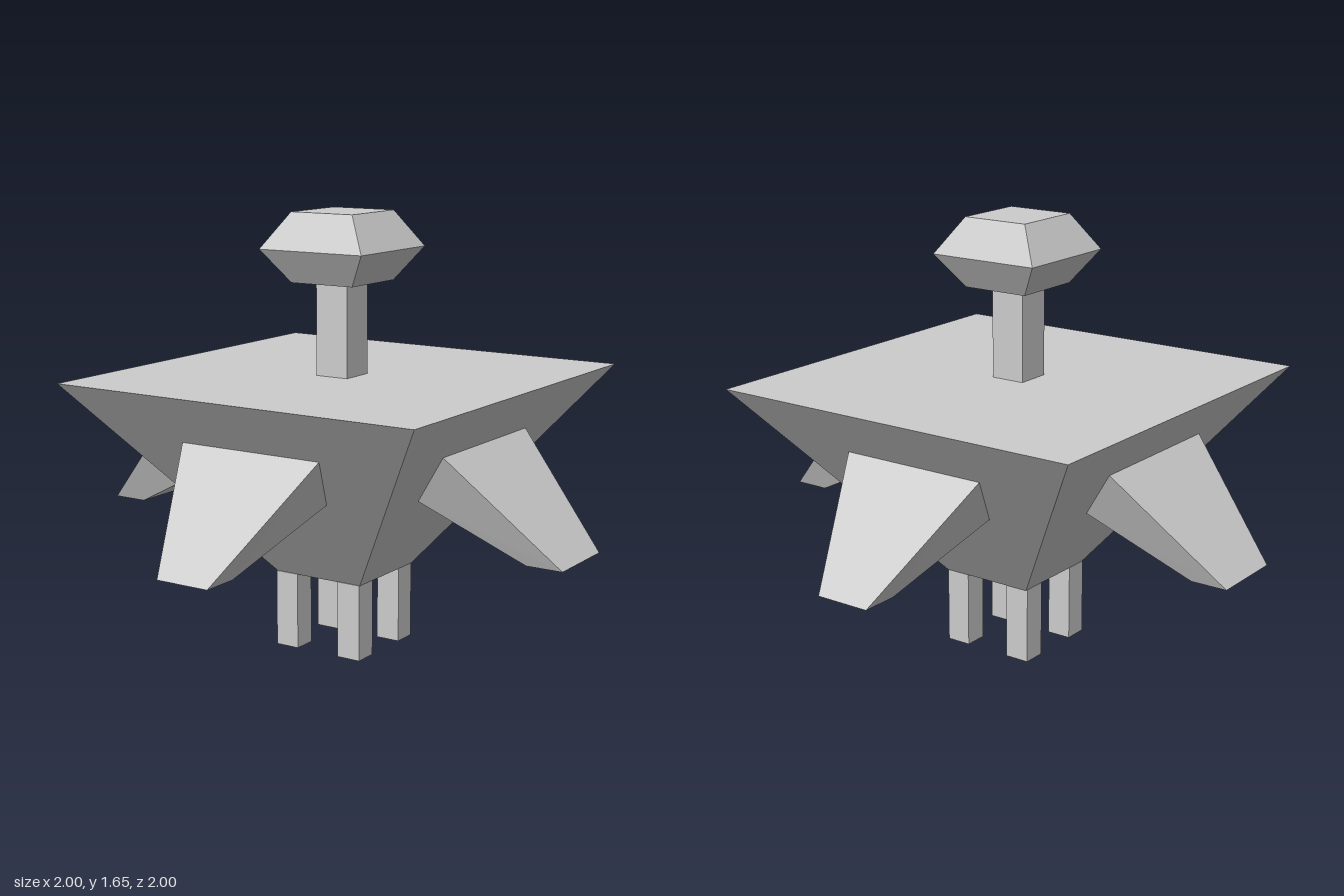
import * as THREE from 'three';

const grey = new THREE.MeshStandardMaterial({ color: 0xcccccc });
grey.name = 'plain grey';
grey.flatShading = true;

// Square-sided solid through rectangular levels [y, halfX, halfZ], listed bottom to top
function stack(name, levels, cx = 0, cz = 0) {
  const n = levels.length - 1;
  const box = new THREE.BoxGeometry(2, n, 2, 1, n, 1);
  const p = box.attributes.position;
  for (let i = 0; i < p.count; i++) {
    const [y, hx, hz] = levels[Math.round(p.getY(i) + n / 2)];
    p.setXYZ(i, cx + p.getX(i) * hx, y, cz + p.getZ(i) * hz);
  }
  const geo = box.toNonIndexed();
  geo.computeVertexNormals();
  const mesh = new THREE.Mesh(geo, grey);
  mesh.name = name;
  return mesh;
}

// Tapered fin pointing along +z; half widths at the upper root, lower root and tip
function fin(name, upper, lower, tip, cx) {
  const corners = (s) => [
    [cx + s * upper, 0.855, 0.613], // upper root
    [cx + s * lower, 0.665, 0.47],  // lower root
    [cx + s * tip, 0.47, 1.0],      // outer tip
    [cx + s * tip, 0.47, 0.86],     // inner tip
  ];
  const [a, b, c, d] = corners(-1);
  const [A, B, C, D] = corners(1);
  const quad = (p, q, r, s) => [p, q, r, p, r, s];
  const faces = [
    ...quad(a, c, C, A), ...quad(c, d, D, C), ...quad(d, b, B, D), ...quad(b, a, A, B),
    A, C, D, A, D, B, // left flank
    a, b, c, b, d, c, // right flank
  ];
  const geo = new THREE.BufferGeometry();
  geo.setAttribute('position', new THREE.Float32BufferAttribute(faces.flat(), 3));
  geo.computeVertexNormals();
  const mesh = new THREE.Mesh(geo, grey);
  mesh.name = name;
  return mesh;
}

export function createModel() {
  const model = new THREE.Group();
  model.name = 'model';

  // Inverted pyramid body, neck and faceted head
  model.add(
    stack('body', [[0.29, 0.185, 0.185], [1.045, 0.757, 0.757]]),
    stack('neck', [[1.045, 0.068, 0.07], [1.395, 0.068, 0.07]], 0.002, 0.025),
    stack('head', [[1.395, 0.133, 0.142], [1.52, 0.222, 0.22], [1.655, 0.133, 0.142]], 0.002, 0.02),
  );

  // Four legs
  for (const x of [-0.14, 0.138]) {
    for (const z of [-0.135, 0.144]) {
      model.add(stack('leg', [[0, 0.048, 0.046], [0.292, 0.048, 0.046]], x, z));
    }
  }

  // Fins on all four sides, the side ones a little wider
  ['frontFin', 'leftFin', 'backFin', 'rightFin'].forEach((name, i) => {
    const side = i % 2 === 1;
    const shift = side ? (i === 1 ? -0.016 : 0.016) : 0;
    const mesh = fin(name, side ? 0.306 : 0.295, 0.23, side ? 0.148 : 0.107, shift);
    mesh.rotation.y = i * Math.PI / 2;
    model.add(mesh);
  });

  return model;
}
